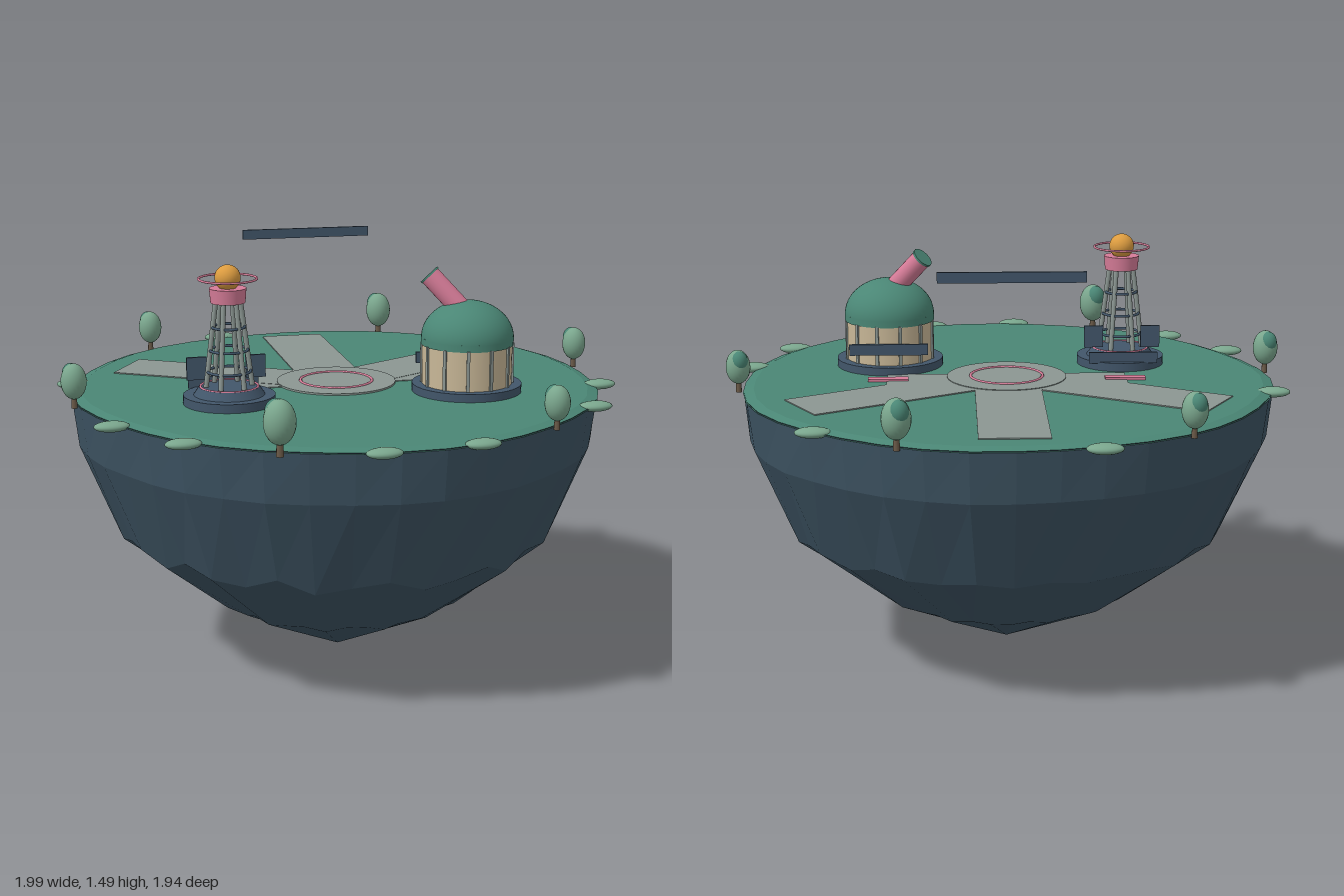
import * as THREE from 'three';

const mat = (name, color, opts = {}) => {
  const m = new THREE.MeshStandardMaterial({ color, ...opts });
  m.name = name;
  return m;
};

export function createModel() {
  const rock = mat('rock', 0x3d5362, { flatShading: true });
  const slate = mat('slate', 0x42566a);
  const grass = mat('grass green', 0x4a8675);
  const leaf = mat('leaf green', 0x7aa68d);
  const stone = mat('grey stone', 0x8b9692);
  const pink = mat('pink', 0xd67c98);
  const amber = mat('amber', 0xdc9c40);
  const cream = mat('cream', 0xc8b797);
  const bark = mat('bark', 0x6b5a48);

  const root = new THREE.Group();
  root.name = 'floatingIsland';
  const add = (parent, name, geo, material, x = 0, y = 0, z = 0) => {
    const m = new THREE.Mesh(geo, material);
    m.name = name;
    m.position.set(x, y, z);
    parent.add(m);
    return m;
  };
  const group = (name, x, y, z) => {
    const g = new THREE.Group();
    g.name = name;
    g.position.set(x, y, z);
    root.add(g);
    return g;
  };
  const disc = (r1, r2, h, n = 40) => new THREE.CylinderGeometry(r1, r2, h, n);
  // Cylinder between two points
  const strut = (parent, name, a, b, r, material) => {
    const dir = new THREE.Vector3().subVectors(b, a);
    const m = add(parent, name, disc(r, r, dir.length(), 20), material);
    m.position.copy(a).addScaledVector(dir, 0.5);
    m.quaternion.setFromUnitVectors(new THREE.Vector3(0, 1, 0), dir.normalize());
    return m;
  };
  const ring = (parent, name, r, tube, material, y) => {
    const m = add(parent, name, new THREE.TorusGeometry(r, tube, 8, 48), material, 0, y, 0);
    m.rotation.x = Math.PI / 2;
    return m;
  };

  // Faceted rock: stacked irregular rings narrowing to a point
  const N = 40, CZ = -0.025;
  const wobble = a => 1 + 0.008 * Math.sin(3 * a + 1) + 0.006 * Math.sin(7 * a);
  const fold = i => Math.sin(i * 2.4) * 0.6 + Math.sin(i * 4.1 + 1) * 0.4;
  const levels = [[1.0, 0.945, 0, 0], [0.82, 0.925, 0.004, 0], [0.49, 0.785, 0.018, 0.03], [0.22, 0.44, 0.03, 0.015], [0.005, 0.004, 0, 0]];
  const pos = [], idx = [];
  levels.forEach(([y, r, dr, dy]) => {
    for (let i = 0; i < N; i++) {
      const a = (i / N) * Math.PI * 2;
      const R = r * wobble(a) + dr * fold(i);
      pos.push(Math.sin(a) * R, y + dy * fold(i + 3), CZ * Math.min(1, y + 0.2) + Math.cos(a) * R);
    }
  });
  for (let l = 0; l < levels.length - 1; l++) {
    for (let i = 0; i < N; i++) {
      const j = (i + 1) % N, a = l * N + i, b = l * N + j, c = a + N, d = b + N;
      idx.push(a, c, b, b, c, d);
    }
  }
  const rockGeo = new THREE.BufferGeometry();
  rockGeo.setAttribute('position', new THREE.Float32BufferAttribute(pos, 3));
  rockGeo.setIndex(idx);
  rockGeo.computeVertexNormals();
  add(root, 'rockBody', rockGeo, rock);

  // Lawn follows the rock outline
  const lawnGeo = disc(0.91, 0.948, 0.012, N);
  const lp = lawnGeo.attributes.position;
  for (let i = 0; i < lp.count; i++) {
    const w = wobble(Math.atan2(lp.getX(i), lp.getZ(i)));
    lp.setXYZ(i, lp.getX(i) * w, lp.getY(i), lp.getZ(i) * w);
  }
  add(root, 'lawn', lawnGeo, grass, 0, 1.002, CZ);

  // Plaza, radiating paths and markers
  const plaza = group('plaza', 0, 1.008, CZ);
  add(plaza, 'plazaDisc', disc(0.215, 0.215, 0.009, 48), stone, 0, 0.002, 0);
  ring(plaza, 'plazaRing', 0.13, 0.005, pink, 0.007);
  for (const deg of [30, 90, 150]) {
    const a = deg * Math.PI / 180;
    const p = add(plaza, 'path', new THREE.BoxGeometry(0.72, 0.006, 0.235), stone, Math.cos(a) * 0.465, 0.001, -Math.sin(a) * 0.465);
    p.rotation.y = a;
  }
  for (const s of [-1, 1]) {
    add(plaza, 'sidePath', new THREE.BoxGeometry(0.33, 0.005, 0.15), stone, s * 0.265, 0.0005, -0.03);
    add(plaza, 'pathMarker', new THREE.BoxGeometry(0.145, 0.009, 0.04), pink, s * 0.425, 0.005, -0.04 + 0.065 + 0.0);
    plaza.children[plaza.children.length - 1].position.z = -0.04;
  }
  plaza.children.filter(m => m.name === 'pathMarker').forEach(m => { m.position.z = -0.065 - CZ; });

  // Beacon tower
  const tower = group('beaconTower', -0.43, 1, 0.2);
  add(tower, 'towerBase', disc(0.16, 0.16, 0.034), slate, 0, 0.022, 0);
  add(tower, 'towerPlinth', disc(0.105, 0.125, 0.03), slate, 0, 0.052, 0);
  ring(tower, 'plinthRing', 0.1, 0.004, pink, 0.067);
  for (let i = 0; i < 6; i++) {
    const a = (i / 6) * Math.PI * 2;
    const at = (r, y) => new THREE.Vector3(Math.cos(a) * r, y, Math.sin(a) * r);
    strut(tower, 'towerLeg', at(0.083, 0.05), at(0.042, 0.37), 0.009, stone);
  }
  [[0.075, 0.12], [0.066, 0.195], [0.056, 0.275]].forEach(([r, y]) => ring(tower, 'towerHoop', r, 0.005, slate, y));
  add(tower, 'towerCollar', disc(0.064, 0.06, 0.05), pink, 0, 0.385, 0);
  add(tower, 'beacon', new THREE.SphereGeometry(0.045, 28, 18), amber, 0, 0.445, 0);
  ring(tower, 'beaconHalo', 0.1, 0.004, pink, 0.442);
  for (const s of [-1, 1])
    add(tower, 'towerPanel', new THREE.BoxGeometry(0.07, 0.08, 0.012), slate, s * 0.104, 0.12, -0.062);
  add(tower, 'towerSign', new THREE.BoxGeometry(0.25, 0.04, 0.01), slate, 0, 0.055, -0.13);

  // Domed observatory
  const obs = group('observatory', 0.425, 1, 0.2);
  add(obs, 'observatoryBase', disc(0.195, 0.195, 0.034, 48), slate, 0, 0.02, 0);
  add(obs, 'observatoryWall', disc(0.16, 0.16, 0.15, 48), cream, 0, 0.108, 0);
  for (let i = 0; i < 12; i++) {
    const a = ((i + 0.5) / 12) * Math.PI * 2;
    const rib = add(obs, 'wallRib', new THREE.BoxGeometry(0.012, 0.145, 0.01), stone, Math.sin(a) * 0.161, 0.108, Math.cos(a) * 0.161);
    rib.rotation.y = a;
  }
  add(obs, 'domeRim', disc(0.164, 0.164, 0.025, 48), grass, 0, 0.19, 0);
  const dome = add(obs, 'dome', new THREE.SphereGeometry(0.164, 48, 16, 0, Math.PI * 2, 0, Math.PI / 2), grass, 0, 0.2, 0);
  dome.scale.y = 0.8;
  const tubeA = new THREE.Vector3(0.0, 0.275, 0), tubeB = new THREE.Vector3(-0.122, 0.413, -0.06);
  const tubeC = tubeB.clone().add(tubeB.clone().sub(tubeA).multiplyScalar(0.04));
  strut(obs, 'telescopeTube', tubeA, tubeB, 0.037, pink);
  strut(obs, 'telescopeCap', tubeB, tubeC, 0.04, grass);
  add(obs, 'observatorySign', new THREE.BoxGeometry(0.285, 0.04, 0.012), slate, 0, 0.098, -0.162);

  // Hovering banner
  add(root, 'floatingBanner', new THREE.BoxGeometry(0.49, 0.036, 0.01), slate, 0, 1.473, -0.555);

  // Upright trees: x, z, size
  const crownGeo = new THREE.SphereGeometry(0.045, 24, 16);
  [[0.375, -0.9, 1.08], [-0.58, -0.79, 0.98], [0.95, -0.14, 0.96], [-0.955, 0.09, 1], [-0.38, 0.855, 1.18], [0.575, 0.74, 0.96]].forEach(([x, z, s]) => {
    const tree = group('tree', x, 1, z);
    tree.scale.setScalar(s);
    add(tree, 'trunk', disc(0.008, 0.011, 0.06, 10), bark, 0, 0.02, 0);
    add(tree, 'crown', crownGeo, leaf, 0, 0.085, 0).scale.y = 1.4;
    const shade = add(tree, 'crownTuft', crownGeo, grass, -0.008, 0.108, -0.016);
    shade.scale.set(0.68, 0.85, 0.68);
  });

  // Low rim bushes: x, z
  [[-0.28, -0.94], [0.65, -0.72], [-0.93, -0.24], [0.93, 0.19], [0.8, 0.5], [-0.86, 0.41], [-0.66, 0.68], [-0.06, 0.93], [0.275, 0.89]].forEach(([x, z]) => {
    add(root, 'bush', crownGeo, leaf, x, 1, z).scale.set(1.35, 0.4, 0.8);
  });
  return root;
}
